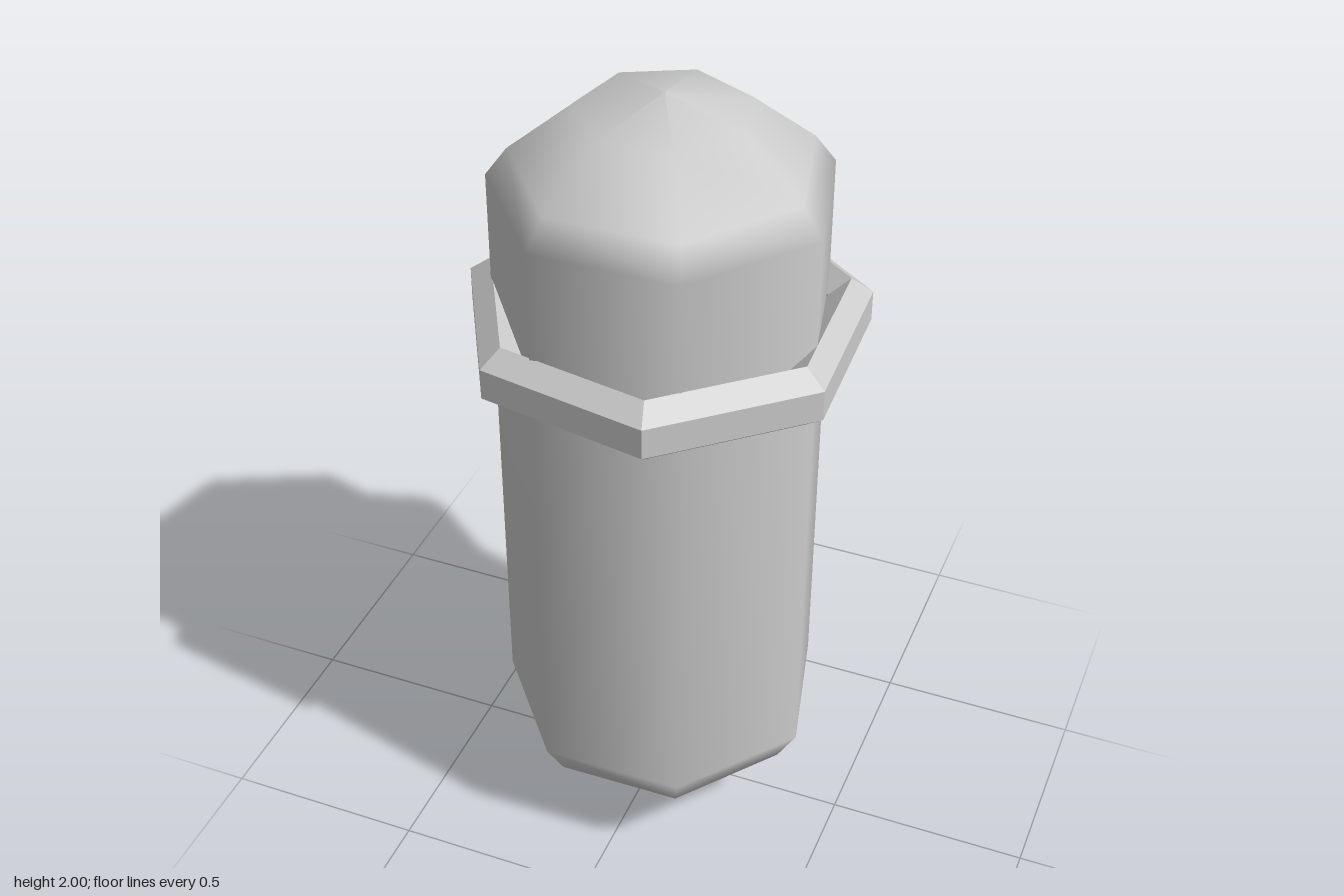
import * as THREE from 'three';

const SIDES = 7;

// Seven-sided turned part from [radius, height] pairs, rotated by a start angle
function turned(name, profile, start, flatShading) {
  const points = profile.map(([r, y]) => new THREE.Vector2(r, y));
  const geometry = new THREE.LatheGeometry(points, SIDES, start, Math.PI * 2);
  const material = new THREE.MeshStandardMaterial({ color: 0xcccccc, flatShading });
  const mesh = new THREE.Mesh(geometry, material);
  mesh.name = name;
  return mesh;
}

export function createModel() {
  const group = new THREE.Group();
  group.name = 'bandedCapsule';

  // Smooth capsule body with domed ends
  const body = turned('capsuleBody', [
    [0, 0], [0.2, 0.056], [0.352, 0.207], [0.403, 0.298],
    [0.403, 1.766], [0.352, 1.836], [0.2, 1.957], [0, 2],
  ], Math.PI + 0.013, false);
  body.position.set(0.016, 0, 0.004);

  // Faceted collar with a hexagonal cross-section
  const collar = turned('collarRing', [
    [0.43, 1.341], [0.483, 1.381], [0.483, 1.457], [0.43, 1.498],
    [0.377, 1.457], [0.377, 1.381], [0.43, 1.341],
  ], Math.PI - 0.175, true);
  collar.position.set(0.018, 0, 0.003);

  group.add(body, collar);
  return group;
}
